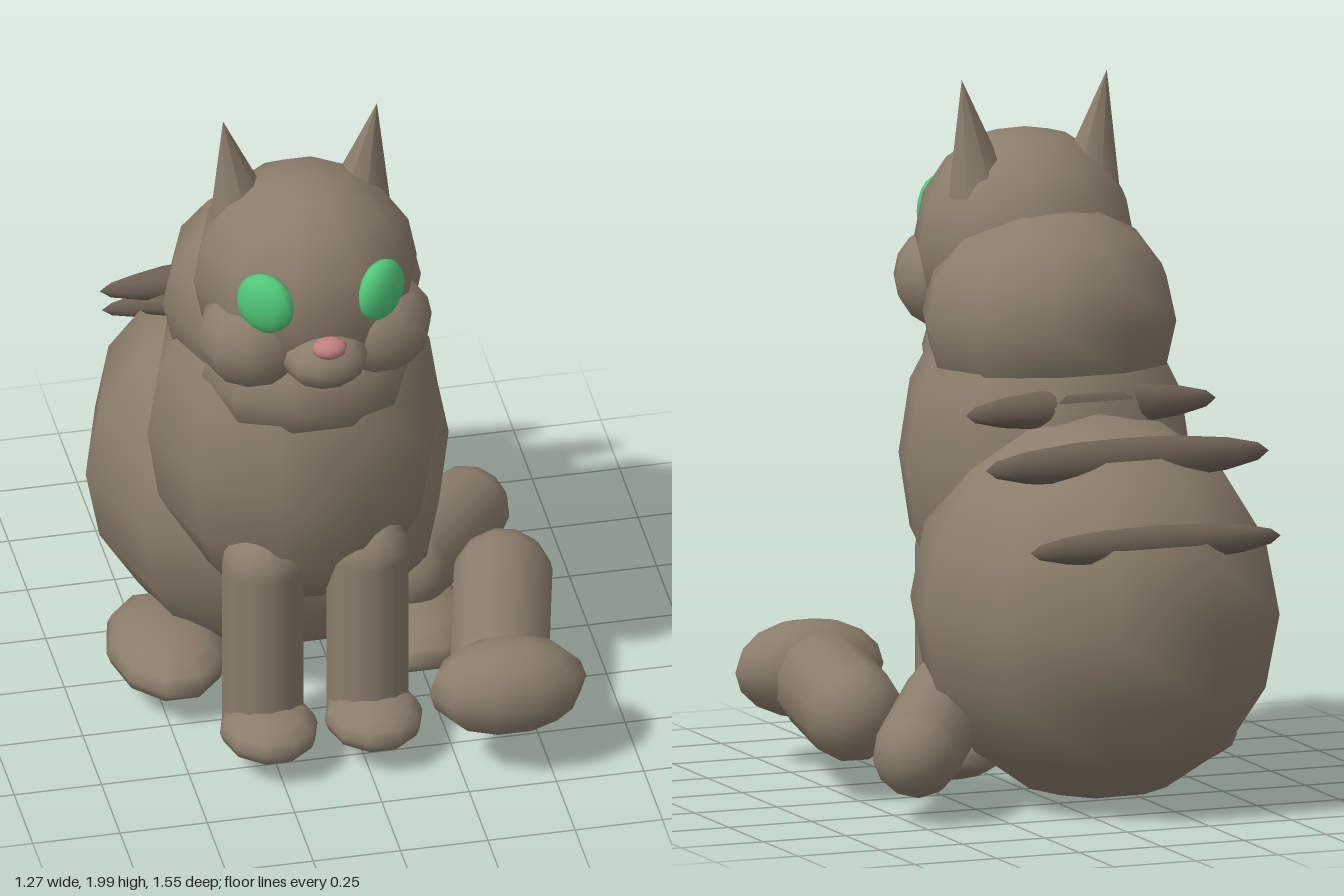
import * as THREE from 'three';

const MID = -0.12; // symmetry plane of the cat; the tail reaches out to its left

const paint = (color) => new THREE.MeshStandardMaterial({ color });

export function createModel() {
  const cat = new THREE.Group();
  cat.name = 'sittingCat';
  const fur = paint(0x8b7d6b);
  const stripeFur = paint(0x6f6254);
  const eyeGreen = paint(0x50c878);
  const nosePink = paint(0xc08080);

  function add(name, geometry, material, [x, y, z]) {
    const mesh = new THREE.Mesh(geometry, material);
    mesh.name = name;
    mesh.position.set(x, y, z);
    cat.add(mesh);
    return mesh;
  }

  // Low-poly ellipsoid with its three radii
  function blob(name, position, radii, material = fur, segments = 10, rings = 8) {
    const geometry = new THREE.SphereGeometry(1, segments, rings).scale(...radii);
    return add(name, geometry, material, position);
  }

  // Capsule whose cap centres are a and b
  function limb(name, a, b, radius) {
    const from = new THREE.Vector3(...a);
    const axis = new THREE.Vector3(...b).sub(from);
    const middle = from.clone().addScaledVector(axis, 0.5);
    const geometry = new THREE.CapsuleGeometry(radius, axis.length(), 5, 12);
    const mesh = add(name, geometry, fur, middle.toArray());
    mesh.quaternion.setFromUnitVectors(new THREE.Vector3(0, 1, 0), axis.normalize());
    return mesh;
  }

  // Torso, neck and head
  blob('body', [MID, 0.56, -0.23], [0.52, 0.55, 0.57]);
  blob('chest', [MID, 0.92, 0.13], [0.42, 0.55, 0.43]);
  blob('chestRuff', [MID, 1.21, 0.3], [0.3, 0.21, 0.245]);
  blob('neck', [MID, 1.33, 0.1], [0.37, 0.325, 0.35]);
  blob('head', [MID, 1.52, 0.28], [0.32, 0.32, 0.31]);
  blob('muzzle', [MID, 1.395, 0.555], [0.12, 0.08, 0.1]);
  blob('nose', [MID, 1.465, 0.61], [0.05, 0.03, 0.04], nosePink);

  // Paired parts
  for (const [side, s] of [['left', 1], ['right', -1]]) {
    blob(side + 'Cheek', [MID + s * 0.18, 1.405, 0.41], [0.155, 0.148, 0.155]);

    const eye = blob(side + 'Eye', [MID + s * 0.165, 1.58, 0.52], [0.088, 0.093, 0.045], eyeGreen, 12, 10);
    eye.rotation.y = s * 0.65;

    const ear = add(side + 'Ear', new THREE.ConeGeometry(0.105, 0.36, 8), fur, [MID + s * 0.19, 1.82, 0.21]);
    ear.rotation.z = -s * 0.17;

    const legX = MID + s * 0.15;
    limb(side + 'FrontLeg', [legX, 0.125, 0.415], [legX, 0.635, 0.415], 0.117);
    blob(side + 'FrontPaw', [legX, 0.13, 0.495], [0.14, 0.075, 0.155]);
    blob(side + 'HindPaw', [MID + s * 0.35, 0.14, 0.05], [0.17, 0.09, 0.25]);
  }

  // Stripes across the back: half length, height, depth
  const stripes = [
    [0.38, 1.12, -0.2, 0.06],
    [0.43, 1.01, -0.465, 0.065],
    [0.38, 0.805, -0.67, 0.055],
  ];
  stripes.forEach(([half, y, z, r], i) => {
    blob('backStripe' + (i + 1), [MID, y, z], [half, r, r * 0.8], stripeFur);
  });

  // Tail curling forward on the left
  limb('tailBase', [0.23, 0.28, 0], [0.475, 0.2, -0.36], 0.125);
  limb('tailMiddle', [0.49, 0.25, 0.075], [0.385, 0.25, 0.52], 0.143);
  blob('tailTip', [0.385, 0.275, 0.635], [0.225, 0.14, 0.145]);

  return cat;
}
